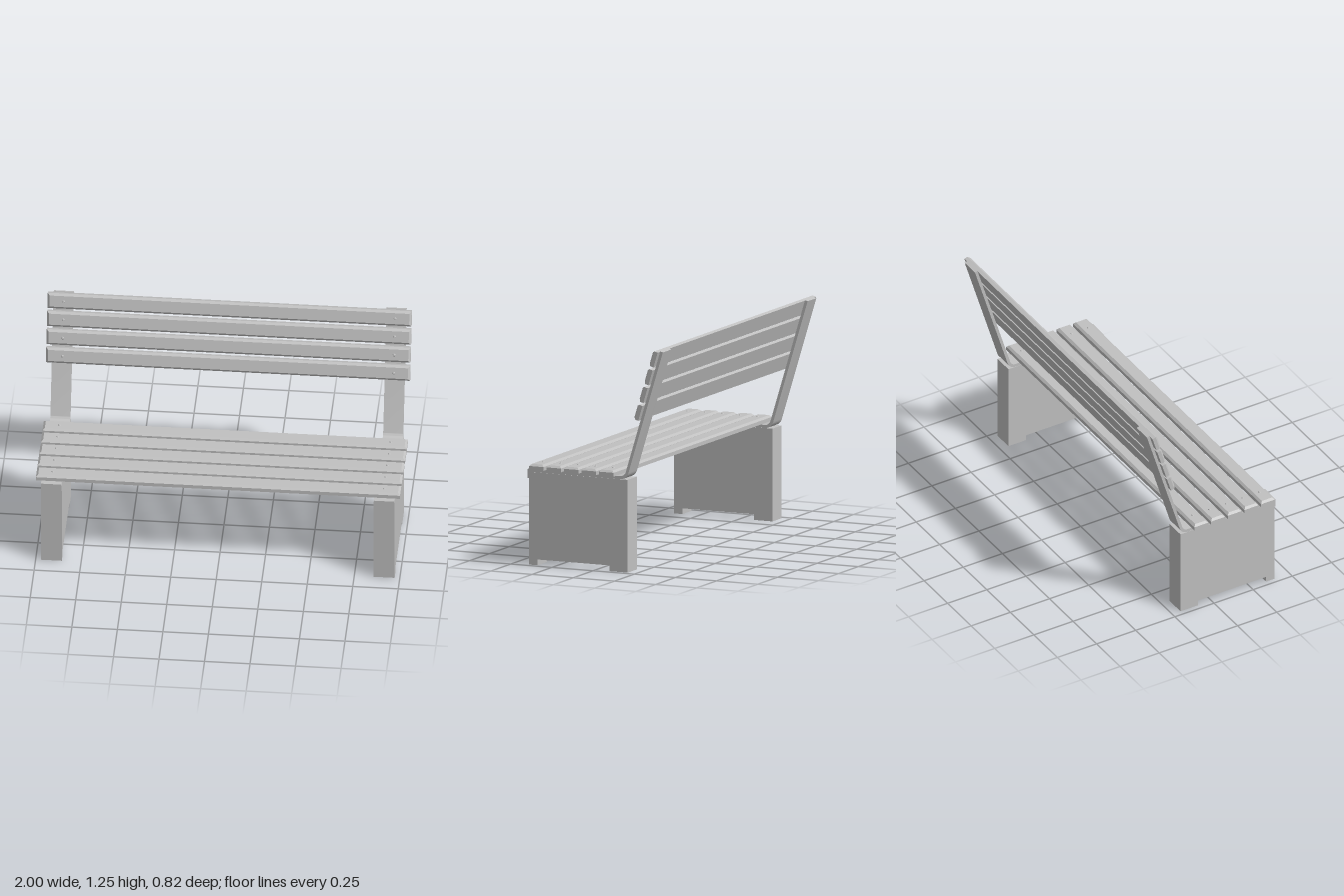
import * as THREE from 'three';
import { toCreasedNormals } from 'three/addons/utils/BufferGeometryUtils.js';

const TILT = THREE.MathUtils.degToRad(72.9); // seat plane to backrest plane
const STRAP_X = 0.914;

// Extrudes a (z, y) side profile across x, centred on x = 0
function extrudeSide(shape, width) {
  const geo = new THREE.ExtrudeGeometry(shape, { depth: width, bevelEnabled: false, curveSegments: 10 });
  geo.translate(0, 0, -width / 2);
  geo.rotateY(-Math.PI / 2);
  return toCreasedNormals(geo, 0.4);
}

// Board with a chamfered upper face, resting on y = 0
function slatGeometry() {
  const length = 2, height = 0.032, depth = 0.088, chamfer = 0.012;
  const box = new THREE.BoxGeometry(length, height, depth, 1, 2, 1);
  const p = box.attributes.position;
  for (let i = 0; i < p.count; i++) {
    const y = p.getY(i);
    if (y > 0.001) {
      p.setX(i, p.getX(i) - Math.sign(p.getX(i)) * chamfer);
      p.setZ(i, p.getZ(i) - Math.sign(p.getZ(i)) * chamfer);
      p.setY(i, height);
    } else {
      p.setY(i, y < -0.001 ? 0 : height - 0.011);
    }
  }
  const geo = box.toNonIndexed();
  geo.computeVertexNormals();
  return geo;
}

// Concrete block with a shallow notch that leaves two feet
function legGeometry() {
  const shape = new THREE.Shape([
    [0.402, 0], [0.402, 0.515], [-0.197, 0.515], [-0.197, 0],
    [-0.085, 0], [-0.085, 0.032], [0.35, 0.032], [0.35, 0],
  ].map(([z, y]) => new THREE.Vector2(z, y)));
  return extrudeSide(shape, 0.115);
}

// Bent flat bar: front lip, seat run, curve and backrest upright
function strapGeometry() {
  const s = new THREE.Shape();
  s.moveTo(0.412, 0.48);
  s.lineTo(0.412, 0.528);
  s.lineTo(0.408, 0.532);
  s.lineTo(-0.15, 0.532);
  s.absarc(-0.15, 0.567, 0.035, -Math.PI / 2, -Math.PI / 2 - TILT, true);
  s.lineTo(-0.393, 1.243);
  s.lineTo(-0.409, 1.238);
  s.absarc(-0.15, 0.567, 0.052, -Math.PI / 2 - TILT, -Math.PI / 2, false);
  s.lineTo(0.402, 0.515);
  s.lineTo(0.402, 0.48);
  return extrudeSide(s, 0.11);
}

export function createModel() {
  const grey = new THREE.MeshStandardMaterial({ color: 0xc0c0c0 });
  grey.name = 'light grey';

  const model = new THREE.Group();
  model.name = 'bench';

  const add = (parent, name, geo, x = 0, y = 0, z = 0) => {
    const mesh = new THREE.Mesh(geo, grey);
    mesh.name = name;
    mesh.position.set(x, y, z);
    parent.add(mesh);
    return mesh;
  };

  const legGeo = legGeometry();
  const strapGeo = strapGeometry();
  const slatGeo = slatGeometry();
  const screwGeo = new THREE.CylinderGeometry(0.005, 0.008, 0.005, 12);

  // Supports at both ends
  for (const [side, sign] of [['left', 1], ['right', -1]]) {
    add(model, `${side}Leg`, legGeo, sign * STRAP_X);
    add(model, `${side}Strap`, strapGeo, sign * STRAP_X);
  }

  // A slat with one screw at each support
  const addSlat = (name, y, z, tilt) => {
    const group = new THREE.Group();
    group.name = name;
    add(group, 'board', slatGeo);
    for (const x of [-0.91, 0.91]) add(group, 'screw', screwGeo, x, 0.0345, 0);
    group.position.set(0, y, z);
    group.rotation.x = tilt;
    model.add(group);
  };

  // Seat
  for (let i = 0; i < 5; i++) addSlat(`seatSlat${i + 1}`, 0.532, 0.345 - i * 0.1065, 0);

  // Backrest, following the front face of the uprights
  for (let i = 0; i < 4; i++) {
    const y = 0.895 + i * 0.101;
    addSlat(`backSlat${i + 1}`, y, -0.1834 - (y - 0.5566) * 0.3055, TILT);
  }

  return model;
}
